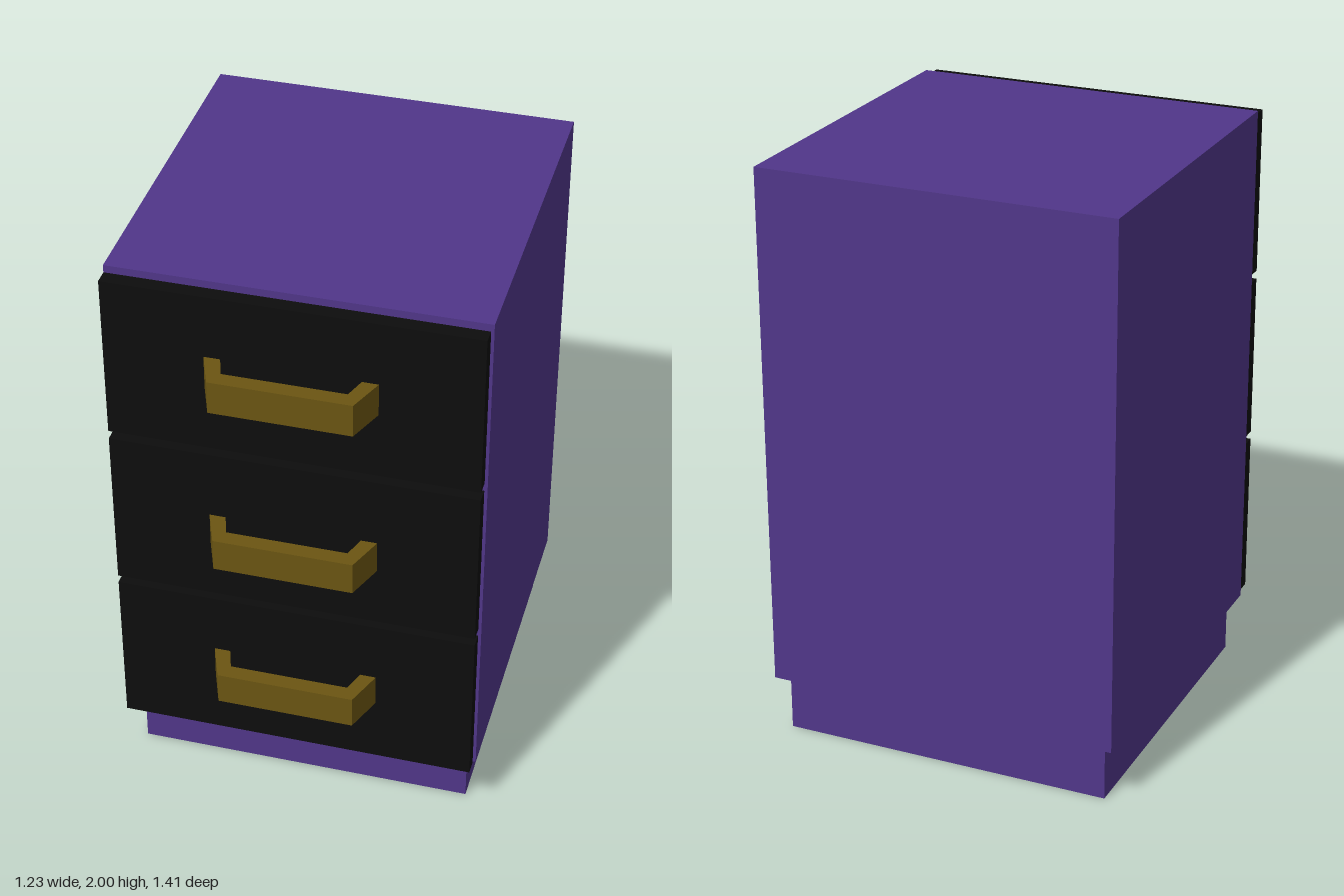
import * as THREE from 'three';

const material = (color) => new THREE.MeshStandardMaterial({ color, flatShading: true });

function add(parent, name, geometry, mat, x, y, z) {
  const mesh = new THREE.Mesh(geometry, mat);
  mesh.name = name;
  mesh.position.set(x, y, z);
  parent.add(mesh);
  return mesh;
}

// Slab whose back narrows to a smaller panel that meets the cabinet
function drawerFrontGeometry(width, height) {
  const inset = 0.09, zFront = 0.58, zEdge = 0.53, zBack = 0.51;
  const geometry = new THREE.BoxGeometry(width, height, 2, 1, 1, 2);
  const p = geometry.attributes.position;
  for (let i = 0; i < p.count; i++) {
    const layer = Math.round(p.getZ(i));
    if (layer < 0) {
      p.setX(i, p.getX(i) - Math.sign(p.getX(i)) * inset);
      p.setY(i, p.getY(i) - Math.sign(p.getY(i)) * inset);
    }
    p.setZ(i, layer > 0 ? zFront : layer < 0 ? zBack : zEdge);
  }
  geometry.computeVertexNormals();
  return geometry;
}

// Bracket handle: outline in x and z, extruded upwards
function handleGeometry(height) {
  const half = [[0.28, 0.575], [0.23, 0.705]];
  const inner = [[0.2, 0.652], [0.226, 0.575]];
  const outline = [
    ...half,
    ...half.slice().reverse().map(([x, z]) => [-x, z]),
    ...inner.slice().reverse().map(([x, z]) => [-x, z]),
    ...inner,
  ];
  const shape = new THREE.Shape(outline.map(([x, z]) => new THREE.Vector2(x, -z)));
  const geometry = new THREE.ExtrudeGeometry(shape, { depth: height, bevelEnabled: false });
  geometry.rotateX(-Math.PI / 2);
  geometry.translate(0, -height / 2, 0);
  return geometry;
}

export function createModel() {
  const model = new THREE.Group();
  model.name = 'drawerCabinet';
  const purple = material(0x503689);
  const black = material(0x0d0d0d);
  const brass = material(0x6b5512);

  // Cabinet body on a recessed plinth
  add(model, 'plinth', new THREE.BoxGeometry(1.15, 0.2, 1.14), purple, 0, 0.1, -0.095);
  add(model, 'cabinetBody', new THREE.BoxGeometry(1.226, 1.8, 1.218), purple, 0, 1.1, -0.096);

  // Three drawers, each with a handle
  const front = drawerFrontGeometry(1.212, 0.572);
  const handle = handleGeometry(0.115);
  const drawers = [[0.498, 0.508], [1.098, 1.084], [1.7, 1.707]];
  drawers.forEach(([frontY, handleY]) => {
    const drawer = new THREE.Group();
    drawer.name = 'drawer';
    add(drawer, 'drawerFront', front, black, 0, frontY, 0);
    add(drawer, 'drawerHandle', handle, brass, 0, handleY, 0);
    model.add(drawer);
  });
  return model;
}
